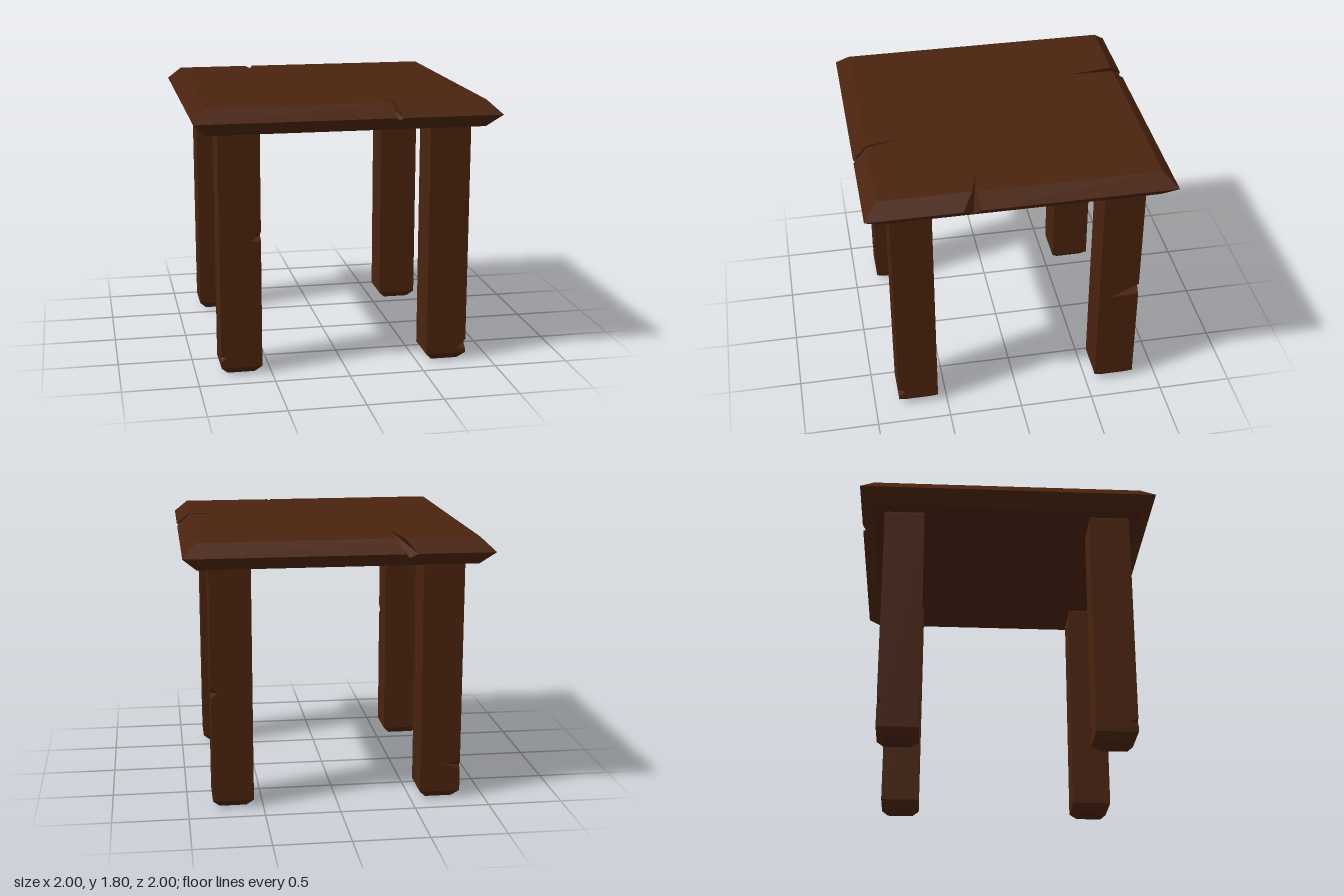
import * as THREE from 'three';

const wood = new THREE.MeshStandardMaterial({ color: 0x4a230e });
wood.name = 'dark brown wood';

// Rotates a point [x, y, z] of the front side onto side k (0 front, 1 right, 2 back, 3 left)
function turn([x, y, z], k) {
  for (let i = 0; i < k; i++) [x, z] = [z, -x];
  return new THREE.Vector3(x, y, z);
}

// Flat-shaded geometry from planar polygons, corners counter-clockwise from outside
function fromPolygons(polygons) {
  const pos = [];
  for (const pts of polygons) {
    const n = new THREE.Vector3();
    pts.forEach((p, i) => n.add(p.clone().cross(pts[(i + 1) % pts.length])));
    n.normalize();
    const a = pts[1].clone().sub(pts[0]);
    a.addScaledVector(n, -a.dot(n)).normalize();
    const b = n.clone().cross(a);
    const flat = pts.map((p) => new THREE.Vector2(p.dot(a), p.dot(b)));
    for (const tri of THREE.ShapeUtils.triangulateShape(flat, []))
      for (const i of tri) pos.push(pts[i].x, pts[i].y, pts[i].z);
  }
  const geo = new THREE.BufferGeometry();
  geo.setAttribute('position', new THREE.Float32BufferAttribute(pos, 3));
  geo.computeVertexNormals();
  return geo;
}

// Four-sided ring of sloping faces between two square sections
function ring(y0, h0, y1, h1) {
  return [0, 1, 2, 3].map((k) =>
    [[-h0, y0, h0], [h0, y0, h0], [h1, y1, h1], [-h1, y1, h1]].map((p) => turn(p, k)));
}

// Horizontal square, facing up or down
function cap(y, h, up) {
  const pts = [0, 1, 2, 3].map((k) => turn([-h, y, h], k));
  return up ? pts : pts.reverse();
}

// Tabletop: bevelled slab, split by wedge-shaped cracks running in from the edge.
// mid, top: crack ends on the outer edge and top rim; tip, floor: [along, inward]
function tabletop() {
  const bot = 1.63, mid = 1.718, top = 1.805, h = 0.91;
  const cracks = [
    { mid: [0.3, 0.338], top: [0.277, 0.303], tip: [0.23, 0.34], floor: [0.315, 0.02] },
    { mid: [-0.385, -0.27], top: [-0.315, -0.285], tip: [-0.26, 0.29], floor: [-0.31, 0.088] },
    { mid: [0.41, 0.49], top: [0.37, 0.42], tip: [0.375, 0.39], floor: [0.44, 0.03] },
    null,
  ];
  const polys = [cap(bot, h, false)];
  const topFace = [];
  cracks.forEach((c, k) => {
    const add = (...pts) => polys.push(pts.map((p) => turn(p, k)));
    const bl = [-h, bot, h], br = [h, bot, h], ml = [-1, mid, 1], mr = [1, mid, 1];
    const tl = [-h, top, h], tr = [h, top, h];
    topFace.push(turn(tl, k));
    if (!c) {
      add(bl, br, mr, ml);
      add(ml, mr, tr, tl);
      return;
    }
    const [m1, m2] = c.mid.map((u) => [u, mid, 1]);
    const [t1, t2] = c.top.map((u) => [u, top, h]);
    const tip = [c.tip[0], top, 1 - c.tip[1]];
    const d = c.floor[1];
    const floor = [c.floor[0], mid - (mid - bot) * d / (1 - h), 1 - d];
    topFace.push(...[t1, tip, t2].map((p) => turn(p, k)));
    add(bl, br, mr, m2, floor, m1, ml);
    add(ml, m1, t1, tl);
    add(m2, mr, tr, t2);
    // Crack walls
    add(m1, floor, tip);
    add(m1, tip, t1);
    add(m2, t2, tip);
    add(m2, tip, floor);
  });
  polys.push(topFace);
  return fromPolygons(polys);
}

// Leg: square post with tapered foot and chips out of its corners.
// Corner j lies between sides j and j + 1; p and q are [length, y] on those sides
function leg(chips) {
  const h = 0.136, y0 = 0.05, y1 = 1.615;
  const polys = [
    cap(0, 0.09, false), ...ring(0, 0.09, y0, h),
    ...ring(y1, h, 1.63, 0.125), cap(1.63, 0.125, true),
  ];
  for (let k = 0; k < 4; k++) {
    const right = chips.find((c) => c.corner === k);
    const left = chips.find((c) => c.corner === (k + 3) % 4);
    const pts = [[-h, y0, h], [h, y0, h]];
    if (right) pts.push([h, right.lo, h], [h - right.p[0], right.p[1], h], [h, right.hi, h]);
    pts.push([h, y1, h], [-h, y1, h]);
    if (left) pts.push([-h, left.hi, h], [-h + left.q[0], left.q[1], h], [-h, left.lo, h]);
    polys.push(pts.map((p) => turn(p, k)));
    // Chip walls
    if (right) {
      const p = [h - right.p[0], right.p[1], h], q = [h, right.q[1], h - right.q[0]];
      polys.push([p, [h, right.lo, h], q].map((v) => turn(v, k)));
      polys.push([p, q, [h, right.hi, h]].map((v) => turn(v, k)));
    }
  }
  return fromPolygons(polys);
}

export function createModel() {
  const model = new THREE.Group();
  model.name = 'table';
  const add = (name, geo, x = 0, z = 0) => {
    const mesh = new THREE.Mesh(geo, wood);
    mesh.name = name;
    mesh.position.set(x, 0, z);
    model.add(mesh);
  };

  add('tabletop', tabletop());

  const c = 0.699;
  add('frontLeftLeg', leg([
    { corner: 0, lo: 0.075, hi: 0.145, p: [0.065, 0.08], q: [0.05, 0.115] },
  ]), c, c);
  add('backLeftLeg', leg([
    { corner: 1, lo: 0.755, hi: 0.84, p: [0.195, 0.75], q: [0.04, 0.8] },
  ]), c, -c);
  add('backRightLeg', leg([
    { corner: 2, lo: 0.2, hi: 0.255, p: [0.135, 0.25], q: [0.03, 0.225] },
  ]), -c, -c);
  add('frontRightLeg', leg([
    { corner: 3, lo: 0.09, hi: 0.145, p: [0.05, 0.115], q: [0.033, 0.125] },
    { corner: 0, lo: 0.91, hi: 0.975, p: [0.065, 0.91], q: [0.05, 0.94] },
  ]), -c, c);
  return model;
}
